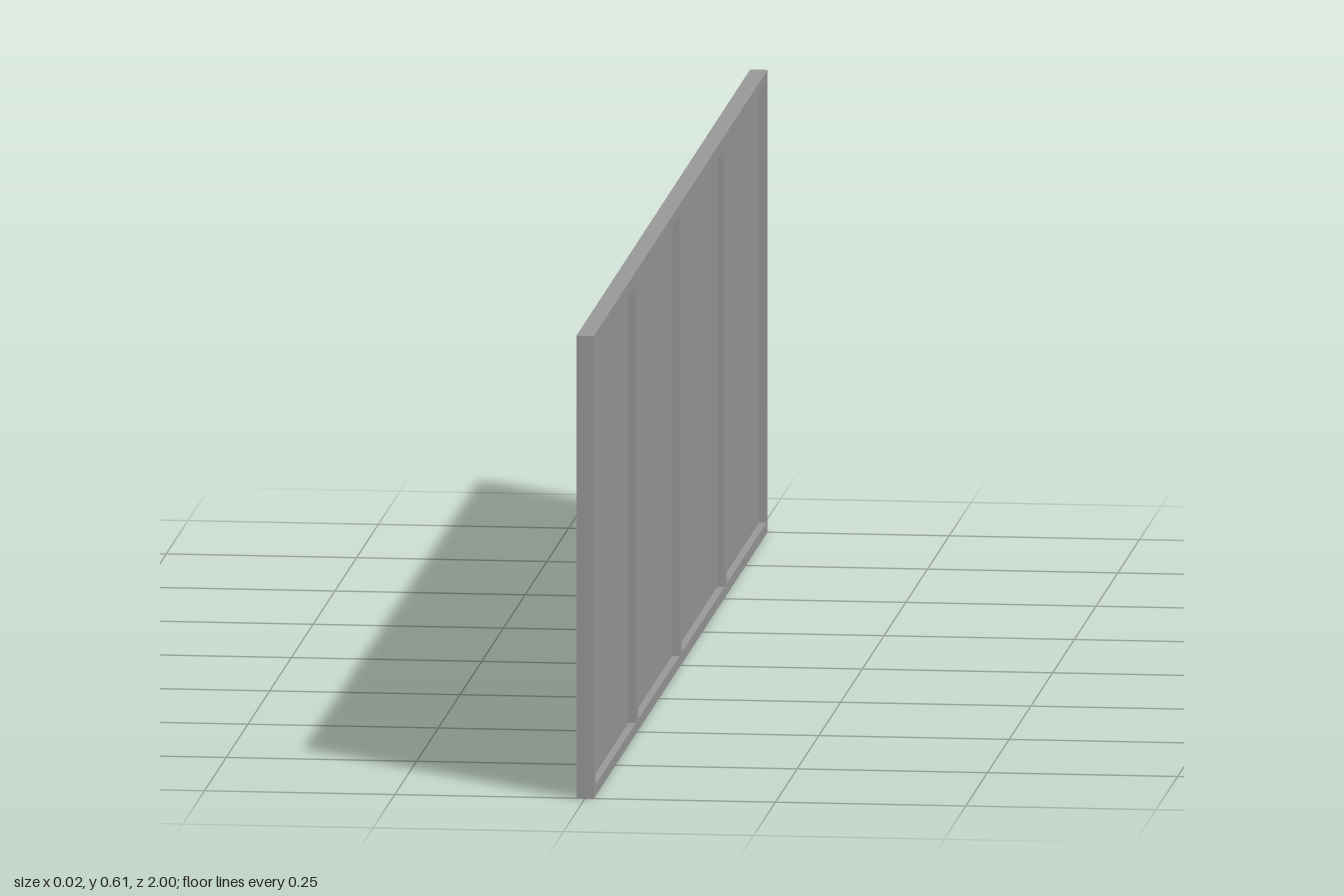
import * as THREE from 'three';

const HEIGHT = 0.613, THICK = 0.023, PANE_THICK = 0.004;
const SILL = 0.015, HEAD = 0.598;
// start and end of each opening along z
const OPENINGS = [[-0.986, -0.531], [-0.504, -0.017], [0.015, 0.487], [0.518, 0.982]];

function rectangle(target, z0, y0, z1, y1) {
  target.moveTo(-z0, y0);
  target.lineTo(-z1, y0);
  target.lineTo(-z1, y1);
  target.lineTo(-z0, y1);
  target.closePath();
  return target;
}

export function createModel() {
  const group = new THREE.Group();
  group.name = 'windowPanel';
  const material = new THREE.MeshStandardMaterial({ color: 0x9b9b9b });

  // one-piece frame with four openings, drawn in the (-z, y) plane
  const outline = rectangle(new THREE.Shape(), 1, 0, -1, HEIGHT);
  for (const [z0, z1] of OPENINGS) {
    outline.holes.push(rectangle(new THREE.Path(), z0, SILL, z1, HEAD));
  }
  const frameGeometry = new THREE.ExtrudeGeometry(outline, { depth: THICK, bevelEnabled: false });
  frameGeometry.translate(0, 0, -THICK / 2);
  frameGeometry.rotateY(Math.PI / 2);
  const frame = new THREE.Mesh(frameGeometry, material);
  frame.name = 'frame';
  group.add(frame);

  // thin panes recessed on both sides
  OPENINGS.forEach(([z0, z1], i) => {
    const pane = new THREE.Mesh(new THREE.BoxGeometry(PANE_THICK, HEAD - SILL, z1 - z0), material);
    pane.name = `pane${i + 1}`;
    pane.position.set(0, (SILL + HEAD) / 2, (z0 + z1) / 2);
    group.add(pane);
  });

  return group;
}
